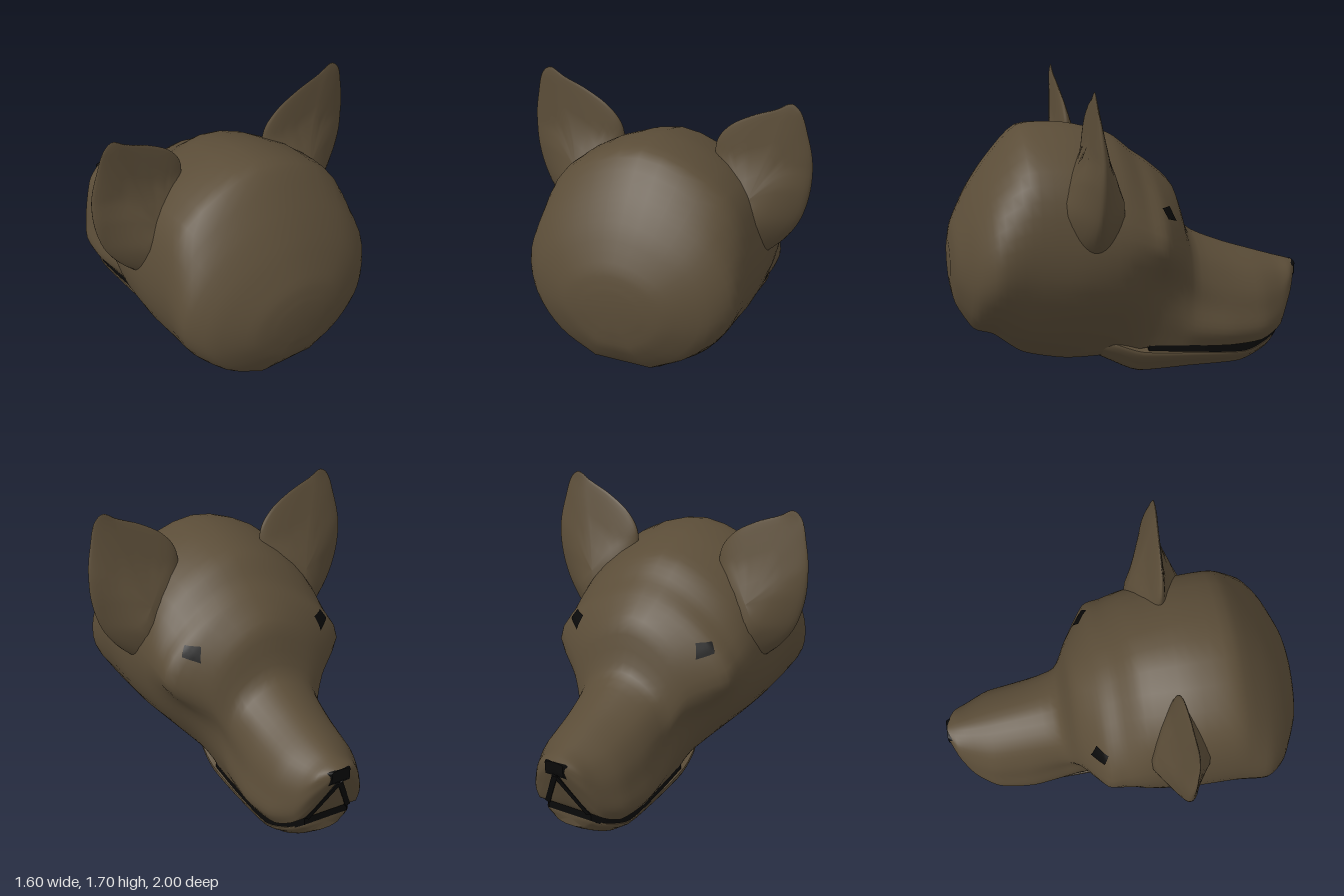
import * as THREE from 'three';
import { toCreasedNormals } from 'three/addons/utils/BufferGeometryUtils.js';

const fur = new THREE.MeshStandardMaterial({ color: 0x5b4d38 });
const black = new THREE.MeshStandardMaterial({ color: 0x090909, side: THREE.DoubleSide });
const HEIGHTS = [0.15, 0.38, 0.62, 0.85];
const { clamp, lerp } = THREE.MathUtils;

// Section outline: flat underside, then a curve up one side, over the top and down the other
function outline([z, y0, y1, ...w]) {
  const v = (x, y) => new THREE.Vector3(x, y, z);
  const side = [v(w[0], y0), ...HEIGHTS.map((h, i) => v(w[i + 1], y0 + (y1 - y0) * h))];
  const other = side.map((p) => v(-p.x, p.y)).reverse();
  const arch = new THREE.CatmullRomCurve3([...side, v(0, y1), ...other], false, 'centripetal');
  return [v(0, y0), ...arch.getPoints(40)];
}

// Smooth closed body through sections running from +z to -z
function loft(sections, steps = 4) {
  const rings = sections.map(outline);
  const n = rings[0].length, rows = (sections.length - 1) * steps;
  const pos = [], idx = [];
  const curves = rings[0].map((_, j) =>
    new THREE.CatmullRomCurve3(rings.map((r) => r[j]), false, 'catmullrom', 0.35));
  for (let i = 0; i <= rows; i++) curves.forEach((c) => pos.push(...c.getPoint(i / rows).toArray()));
  for (let i = 0; i < rows; i++) for (let j = 0; j < n; j++) {
    const a = i * n + j, b = i * n + (j + 1) % n;
    idx.push(a, a + n, b, b, a + n, b + n);
  }
  // End caps
  for (const [row, s] of [[0, sections[0]], [rows, sections.at(-1)]]) {
    const c = pos.length / 3;
    pos.push(0, (s[1] + s[2]) / 2, s[0]);
    for (let j = 0; j < n; j++) {
      const a = row * n + j, b = row * n + (j + 1) % n;
      idx.push(c, ...(row === 0 ? [a, b] : [b, a]));
    }
  }
  return toCreasedNormals(surface(pos, idx), 0.8);
}

function surface(pos, idx) {
  const g = new THREE.BufferGeometry();
  g.setAttribute('position', new THREE.Float32BufferAttribute(pos, 3));
  g.setIndex(idx);
  g.computeVertexNormals();
  return g;
}

// Blunt-edged ear: rings shrink from the rim to the middle, front and back, flaring at the root
function earGeometry(s) {
  const rim = [[0.3, 1.1], [0.46, 0.78], [0.6, 0.86], [0.73, 1.02], [0.79, 1.2], [0.8, 1.39], [0.775, 1.53],
    [0.735, 1.66], [0.685, 1.695], [0.61, 1.655], [0.47, 1.595], [0.34, 1.51], [0.27, 1.4]]
    .map(([x, y]) => new THREE.Vector3(x, y, 0));
  const pts = new THREE.CatmullRomCurve3(rim, true).getPoints(65).slice(0, 65);
  const back = [0, 0.25, 0.45, 0.6, 0.72, 0.82, 0.9, 0.96, 0.99];
  const scales = [...back, 1, ...back.slice().reverse()];
  const pos = [], idx = [], n = pts.length;
  scales.forEach((k, r) => pts.forEach((p) => {
    const x = 0.5 + (p.x - 0.5) * k, y = 1.17 + (p.y - 1.17) * k;
    const thick = 0.015 + 0.06 * clamp((1.69 - y) / 0.45, 0, 1);
    const flare = 0.1 * clamp((0.74 - x) / 0.2, 0, 1) * clamp((1.35 - y) / 0.3, 0, 1);
    const bulge = Math.sqrt(1 - k * k) * (thick + flare) * (r < back.length ? 1 : -1);
    pos.push(s * x, y, 0.3 - 0.03 * clamp((1.65 - y) / 0.3, 0, 1) + bulge);
  }));
  for (let i = 0; i < scales.length - 1; i++) for (let j = 0; j < n; j++) {
    const a = i * n + j, b = i * n + (j + 1) % n;
    idx.push(...(s > 0 ? [a, a + n, b, b, a + n, b + n] : [a, b, a + n, b, b + n, a + n]));
  }
  return surface(pos, idx);
}

// Diamond eye patch laid onto the head by casting rays from the side
function eyeGeometry(head, s) {
  const c = [[1.035, -0.11], [1.03, -0.165], [0.95, -0.2], [0.98, -0.135]];
  const ray = new THREE.Raycaster(), pos = [], idx = [], N = 5;
  for (let i = 0; i <= N; i++) for (let j = 0; j <= N; j++) {
    const u = i / N, v = j / N;
    const [y, z] = [0, 1].map((k) => lerp(lerp(c[0][k], c[1][k], u), lerp(c[3][k], c[2][k], u), v));
    ray.set(new THREE.Vector3(s * 2, y, z), new THREE.Vector3(-s, 0, 0));
    pos.push(ray.intersectObject(head)[0].point.x + s * 0.008, y, z - 0.004);
    if (i < N && j < N) {
      const a = i * (N + 1) + j, b = a + N + 1;
      idx.push(...(s > 0 ? [a, a + 1, b, b, a + 1, b + 1] : [a, b, a + 1, b, b + 1, a + 1]));
    }
  }
  return surface(pos, idx);
}

export function createModel() {
  const group = new THREE.Group();
  const add = (name, geo, mat) => {
    const m = new THREE.Mesh(geo, mat);
    m.name = name;
    group.add(m);
    return m;
  };

  // Skull and upper muzzle: z, bottom, top, then half-widths from bottom upward
  const head = add('head', loft([
    [0.995, 0.6, 0.82, 0.05, 0.1, 0.14, 0.14, 0.1],
    [0.97, 0.48, 0.93, 0.1, 0.2, 0.28, 0.28, 0.2],
    [0.88, 0.35, 1.11, 0.16, 0.36, 0.48, 0.47, 0.33],
    [0.77, 0.31, 1.27, 0.16, 0.41, 0.575, 0.565, 0.4],
    [0.6, 0.17, 1.445, 0.08, 0.37, 0.56, 0.58, 0.45],
    [0.35, 0.11, 1.45, 0.06, 0.32, 0.55, 0.575, 0.45],
    [0.1, 0.14, 1.385, 0.14, 0.32, 0.52, 0.57, 0.41],
    [-0.03, 0.18, 1.285, 0.21, 0.31, 0.45, 0.56, 0.38],
    [-0.13, 0.205, 1.215, 0.24, 0.3, 0.38, 0.545, 0.37],
    [-0.26, 0.2, 1.09, 0.25, 0.29, 0.31, 0.37, 0.26],
    [-0.345, 0.195, 0.84, 0.25, 0.29, 0.28, 0.28, 0.21],
    [-0.55, 0.185, 0.74, 0.26, 0.31, 0.29, 0.26, 0.18],
    [-0.75, 0.2, 0.675, 0.245, 0.285, 0.27, 0.24, 0.16],
    [-0.88, 0.27, 0.635, 0.19, 0.21, 0.205, 0.18, 0.12],
    [-0.95, 0.42, 0.615, 0.1, 0.14, 0.14, 0.13, 0.09],
    [-0.995, 0.54, 0.6, 0.05, 0.055, 0.055, 0.05, 0.04],
  ]), fur);

  // Lower jaw
  add('lowerJaw', loft([
    [0.22, 0.13, 0.26, 0.02, 0.08, 0.12, 0.15, 0.15],
    [0.1, 0.07, 0.25, 0.02, 0.12, 0.17, 0.21, 0.22],
    [-0.06, 0, 0.2, 0.02, 0.13, 0.18, 0.225, 0.24],
    [-0.35, 0.015, 0.175, 0.02, 0.14, 0.19, 0.235, 0.25],
    [-0.65, 0.03, 0.155, 0.02, 0.14, 0.18, 0.225, 0.245],
    [-0.8, 0.1, 0.195, 0.04, 0.12, 0.155, 0.185, 0.195],
    [-0.87, 0.15, 0.24, 0.03, 0.08, 0.1, 0.125, 0.125],
  ]), fur);

  // Dark mouth gap between lip and jaw
  const slab = (z, y0, y1, w) => [z, y0, y1, w, w, w, w, w];
  add('mouth', loft([
    slab(-0.09, 0.175, 0.25, 0.235), slab(-0.35, 0.155, 0.235, 0.245), slab(-0.65, 0.135, 0.225, 0.24),
    slab(-0.8, 0.17, 0.26, 0.19), slab(-0.872, 0.22, 0.3, 0.135),
  ]), black);

  // Nose
  add('nose', loft([slab(-0.96, 0.48, 0.598, 0.08), slab(-1, 0.53, 0.6, 0.055)]), black);

  // Ears, eyes and the lip lines that run from the nose to the mouth
  const noseBase = new THREE.Vector3(0, 0.52, -0.988);
  for (const s of [1, -1]) {
    const side = s > 0 ? 'left' : 'right';
    add(side + 'Ear', earGeometry(s), fur);
    add(side + 'Eye', eyeGeometry(head, s), black);
    const corner = new THREE.Vector3(s * 0.13, 0.27, -0.88);
    const line = add(side + 'LipLine', new THREE.BoxGeometry(0.03, noseBase.distanceTo(corner), 0.02), black);
    line.position.lerpVectors(noseBase, corner, 0.5);
    line.quaternion.setFromUnitVectors(new THREE.Vector3(0, 1, 0), noseBase.clone().sub(corner).normalize());
  }
  return group;
}
